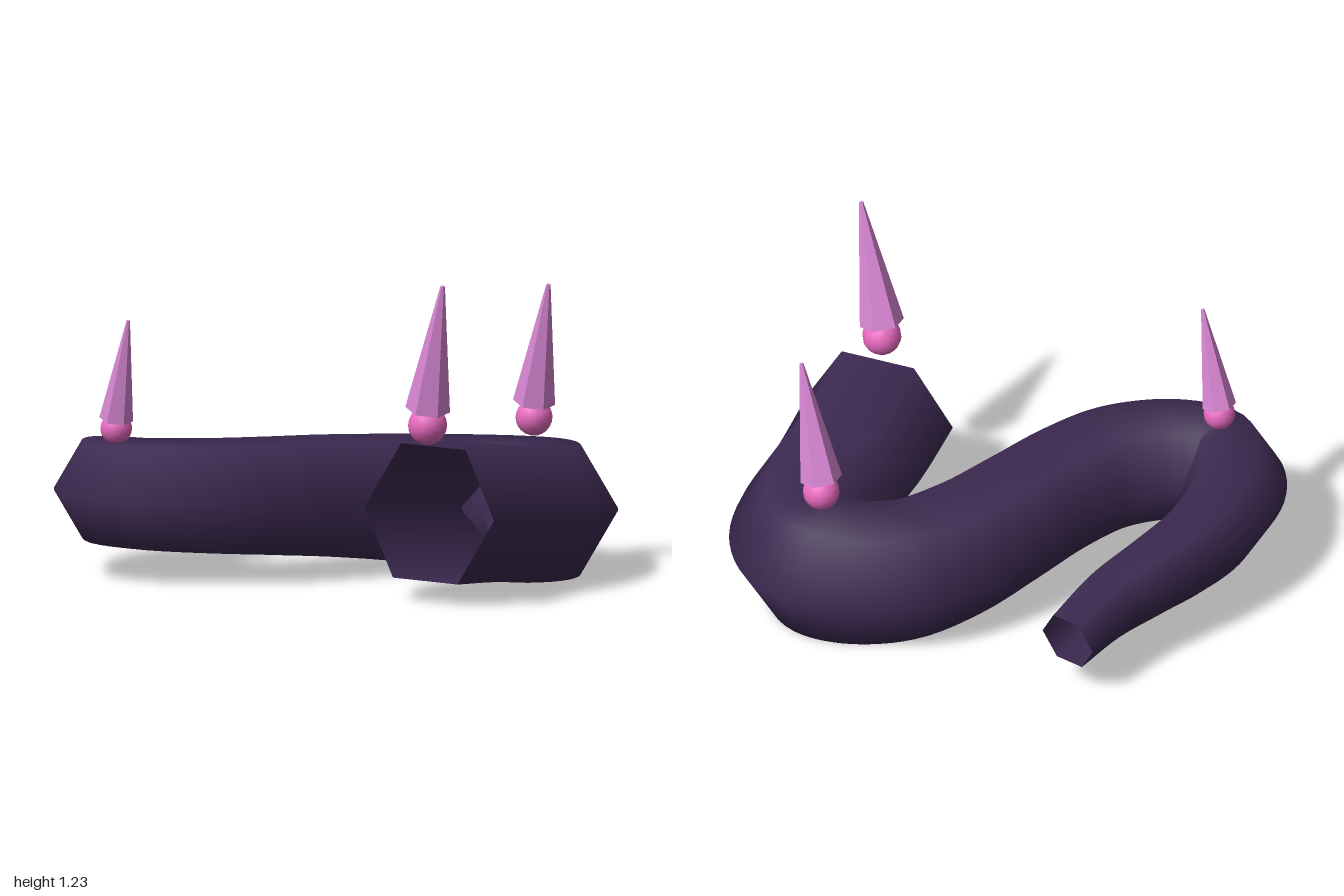
import * as THREE from 'three';

const bodyMat = new THREE.MeshStandardMaterial({ color: 0x3d2a52, side: THREE.DoubleSide });
const spikeMat = new THREE.MeshStandardMaterial({ color: 0xda88d6, flatShading: true });
const orbMat = new THREE.MeshStandardMaterial({ color: 0xe86bc0 });

// Centre line of the winding body: x, y, z, radius
const PATH = [
  [0, 0.345, 0.68, 0.294], [0.28, 0.31, 0.525, 0.291], [0.5, 0.275, 0.435, 0.287],
  [0.66, 0.255, 0.32, 0.284], [0.72, 0.248, 0.18, 0.28], [0.66, 0.245, 0.05, 0.275],
  [0.5, 0.25, -0.075, 0.268], [0.27, 0.27, -0.125, 0.26], [0, 0.297, -0.125, 0.25],
  [-0.25, 0.317, -0.115, 0.241], [-0.47, 0.33, -0.14, 0.234], [-0.68, 0.335, -0.255, 0.227],
  [-0.78, 0.335, -0.4, 0.219], [-0.71, 0.33, -0.55, 0.206], [-0.55, 0.315, -0.655, 0.188],
  [-0.36, 0.3, -0.71, 0.165], [-0.16, 0.285, -0.732, 0.149], [0.06, 0.262, -0.75, 0.134],
  [0.295, 0.235, -0.81, 0.118],
];

// Open six-sided tube that tapers along the path, with smooth normals
function taperedTube(path, steps, sides) {
  const curve = new THREE.CatmullRomCurve3(path.map(([x, y, z]) => new THREE.Vector3(x, y, z)));
  const up = new THREE.Vector3(0, 1, 0);
  const positions = [], normals = [], index = [];
  for (let i = 0; i <= steps; i++) {
    const t = i / steps;
    const k = Math.min(Math.floor(t * (path.length - 1)), path.length - 2);
    const radius = THREE.MathUtils.lerp(path[k][3], path[k + 1][3], t * (path.length - 1) - k);
    const centre = curve.getPoint(t);
    const tangent = curve.getTangent(t);
    const side = new THREE.Vector3().crossVectors(tangent, up).normalize();
    const top = new THREE.Vector3().crossVectors(side, tangent).normalize();
    for (let j = 0; j < sides; j++) {
      const a = (j / sides) * Math.PI * 2;
      const n = side.clone().multiplyScalar(Math.cos(a)).addScaledVector(top, Math.sin(a));
      normals.push(n.x, n.y, n.z);
      positions.push(centre.x + n.x * radius, centre.y + n.y * radius, centre.z + n.z * radius);
      if (i < steps) {
        const p = i * sides + j, q = i * sides + ((j + 1) % sides);
        index.push(p, q, p + sides, q, q + sides, p + sides);
      }
    }
  }
  const geo = new THREE.BufferGeometry();
  geo.setAttribute('position', new THREE.Float32BufferAttribute(positions, 3));
  geo.setAttribute('normal', new THREE.Float32BufferAttribute(normals, 3));
  geo.setIndex(index);
  return geo;
}

// Orb with a blunt-tipped six-sided spike leaning forward above it
function orbAndSpike(name, [x, y, z], orbRadius, baseY, baseRadius, length) {
  const group = new THREE.Group();
  group.name = name;
  const orb = new THREE.Mesh(new THREE.SphereGeometry(orbRadius, 16, 12), orbMat);
  orb.name = 'orb';
  orb.position.set(x, y, z);
  const cone = new THREE.CylinderGeometry(baseRadius * 0.1, baseRadius, length, 6);
  cone.translate(0, length / 2, 0);
  const spike = new THREE.Mesh(cone, spikeMat);
  spike.name = 'spike';
  spike.position.set(x, baseY, z);
  spike.rotation.x = 0.25;
  group.add(orb, spike);
  return group;
}

export function createModel() {
  const model = new THREE.Group();
  model.name = 'spikedTentacle';

  const body = new THREE.Mesh(taperedTube(PATH, 108, 6), bodyMat);
  body.name = 'windingBody';
  model.add(body);

  model.add(
    orbAndSpike('frontSpike', [-0.01, 0.685, 0.685], 0.074, 0.745, 0.085, 0.505),
    orbAndSpike('leftSpike', [0.715, 0.585, 0.15], 0.07, 0.642, 0.08, 0.483),
    orbAndSpike('rightSpike', [-0.78, 0.575, -0.388], 0.06, 0.61, 0.064, 0.404),
  );
  return model;
}
